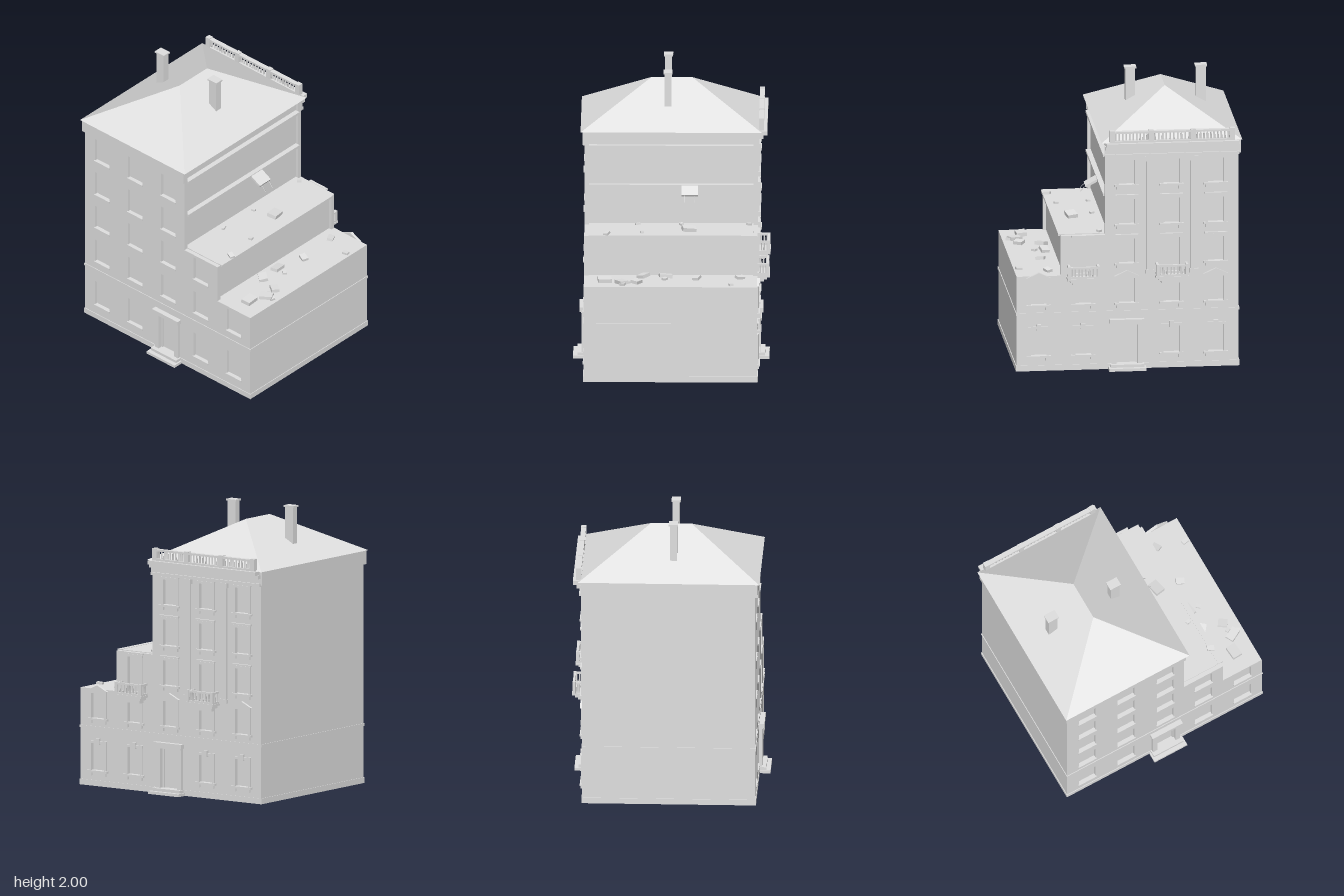
import * as THREE from 'three';
import { ConvexGeometry } from 'three/addons/geometries/ConvexGeometry.js';

const stone = new THREE.MeshStandardMaterial({ color: 0xe0e0e0 });
stone.name = 'pale stone';

// box given by its limits on each axis
function box(parent, name, x0, x1, y0, y1, z0, z1) {
  const m = new THREE.Mesh(new THREE.BoxGeometry(x1 - x0, y1 - y0, z1 - z0), stone);
  m.position.set((x0 + x1) / 2, (y0 + y1) / 2, (z0 + z1) / 2);
  m.name = name;
  parent.add(m);
  return m;
}

function group(parent, name) {
  const g = new THREE.Group();
  g.name = name;
  parent.add(g);
  return g;
}

const LEFT = -0.767, RIGHT = 0.78, STEP1 = 0.163, STEP2 = 0.473, INNER = 0.57;
const COLS = [-0.607, -0.298, 0.0125, 0.317, 0.627];
const ROWS = [[0.11, 0.31], [0.475, 0.66], [0.76, 0.945], [1.04, 1.23], [1.325, 1.51]];
const DOOR = 2;
// number of bays still standing on each floor
const BAYS = [5, 5, 4, 3, 3];
const isBalcony = (c, r) => r === 2 && (c === 1 || c === 3);

function eachWindow(fn) {
  ROWS.forEach(([y0, y1], r) => {
    for (let c = 0; c < BAYS[r]; c++) if (r > 0 || c !== DOOR) fn(COLS[c], y0, y1, c, r);
  });
}

// stepped outer wall with openings, closed by thin panes
function facade(parent, name, z, halfWidth, back) {
  const g = group(parent, name);
  const s = new THREE.Shape([
    [LEFT, 0], [RIGHT, 0], [RIGHT, 0.68], [STEP2, 0.68], [STEP2, 0.965],
    [STEP1, 0.965], [STEP1, 1.63], [LEFT, 1.63],
  ].map(([x, y]) => new THREE.Vector2(x, y)));
  const paneZ = back ? z + 0.022 : z + 0.002;
  const hole = (x, w, y0, y1) => {
    s.holes.push(new THREE.Path([
      [x - w, y0], [x - w, y1], [x + w, y1], [x + w, y0],
    ].map(([a, b]) => new THREE.Vector2(a, b))));
    box(g, 'pane', x - w, x + w, y0, y1, paneZ, paneZ + 0.006);
  };
  eachWindow((x, y0, y1, c, r) => hole(x, halfWidth, back && isBalcony(c, r) ? 0.69 : y0, y1));
  hole(COLS[DOOR], 0.072, 0.04, 0.325);
  const m = new THREE.Mesh(new THREE.ExtrudeGeometry(s, { depth: 0.03, bevelEnabled: false }), stone);
  m.position.z = z;
  m.name = 'wall';
  g.add(m);
}

// band running round all four sides
function band(parent, name, y0, y1, out) {
  const g = group(parent, name);
  box(g, 'frontBand', LEFT - out, RIGHT + out, y0, y1, 0.59, 0.6 + out);
  box(g, 'backBand', LEFT - out, RIGHT + out, y0, y1, -0.6 - out, -0.59);
  box(g, 'leftBand', LEFT - out, LEFT + 0.01, y0, y1, -0.59, 0.59);
  box(g, 'rightBand', RIGHT - 0.01, RIGHT + out, y0, y1, -0.59, 0.59);
}

// door surround and steps, on the front (s = 1) or back (s = -1)
function entrance(parent, s) {
  const g = group(parent, s > 0 ? 'frontEntrance' : 'backEntrance');
  const x = COLS[DOOR];
  const part = (name, a, b, y0, y1, z0, z1) =>
    box(g, name, x + a, x + b, y0, y1, Math.min(s * z0, s * z1), Math.max(s * z0, s * z1));
  part('lowerStep', -0.13, 0.13, 0, 0.02, 0.6, 0.68);
  part('upperStep', -0.118, 0.118, 0.02, 0.04, 0.57, 0.65);
  part('lintel', -0.12, 0.12, 0.33, 0.36, 0.6, 0.637);
  part('lintelMoulding', -0.108, 0.108, 0.318, 0.33, 0.6, 0.625);
  for (const k of [-1, 1]) {
    part('doorPilaster', k * 0.09 - 0.018, k * 0.09 + 0.018, 0.04, 0.32, 0.6, 0.62);
    part('doorJamb', k * 0.067 - 0.005, k * 0.067 + 0.005, 0.04, 0.32, 0.575, 0.59);
  }
}

// framed and dressed window on the back wall
function backWindow(parent, x, y0, y1, c, r) {
  const g = group(parent, 'backWindow');
  const tall = isBalcony(c, r);
  if (tall) y0 = 0.69;
  for (const k of [-1, 1])
    box(g, 'frameSide', x + k * 0.064 - 0.009, x + k * 0.064 + 0.009, y0, y1, -0.61, -0.59);
  box(g, 'frameTop', x - 0.073, x + 0.073, y1 - 0.01, y1 + 0.008, -0.611, -0.59);
  if (!tall) {
    box(g, 'sill', x - 0.085, x + 0.085, y0 - 0.014, y0, -0.62, -0.575);
    for (const k of [-1, 1])
      box(g, 'sillBracket', x + k * 0.06 - 0.01, x + k * 0.06 + 0.01, y0 - 0.037, y0 - 0.014, -0.614, -0.6);
  }
  if (r === 0) box(g, 'keystone', x - 0.016, x + 0.016, y1 - 0.018, y1 + 0.025, -0.618, -0.6);
  else if (r === 1 && c % 2 === 0) {
    // triangular pediment
    const s = new THREE.Shape([[-0.085, 0], [0.085, 0], [0, 0.04]].map((p) => new THREE.Vector2(...p)));
    const m = new THREE.Mesh(new THREE.ExtrudeGeometry(s, { depth: 0.02, bevelEnabled: false }), stone);
    m.position.set(x, y1 + 0.008, -0.618);
    m.name = 'pediment';
    g.add(m);
  } else if (r > 1) box(g, 'hood', x - 0.08, x + 0.08, y1 + 0.01, y1 + 0.022, -0.618, -0.6);
}

// row of balusters between two points, with rails of half width w
function balusters(parent, a, b, y0, y1, n, w) {
  for (let i = 0; i < n; i++) {
    const t = (i + 0.5) / n;
    const m = new THREE.Mesh(new THREE.CylinderGeometry(0.005, 0.007, y1 - y0, 6), stone);
    m.position.set(a[0] + (b[0] - a[0]) * t, (y0 + y1) / 2, a[1] + (b[1] - a[1]) * t);
    m.name = 'baluster';
    parent.add(m);
  }
  for (const y of [y0, y1 - 0.014])
    box(parent, 'rail', Math.min(a[0], b[0]) - 0.008, Math.max(a[0], b[0]) + 0.008, y, y + 0.014,
      Math.min(a[1], b[1]) - w, Math.max(a[1], b[1]) + w);
}

function balcony(parent, x) {
  const g = group(parent, 'balcony');
  box(g, 'balconySlab', x - 0.115, x + 0.115, 0.66, 0.675, -0.685, -0.6);
  box(g, 'balconyCorbel', x - 0.095, x + 0.095, 0.64, 0.66, -0.665, -0.6);
  box(g, 'balconyCorbelFoot', x - 0.075, x + 0.075, 0.618, 0.64, -0.645, -0.6);
  balusters(g, [x - 0.1, -0.672], [x + 0.1, -0.672], 0.675, 0.757, 8, 0.008);
  for (const k of [-1, 1]) {
    balusters(g, [x + k * 0.102, -0.608], [x + k * 0.102, -0.672], 0.675, 0.757, 3, 0.008);
    box(g, 'balconyPost', x + k * 0.102 - 0.01, x + k * 0.102 + 0.01, 0.675, 0.76, -0.682, -0.662);
  }
}

// debris: x, z, width, depth, turn, floor height
const RUBBLE = [
  [0.35, -0.125, 0.07, 0.095, 0.2, 0.97], [0.42, 0.2, 0.03, 0.025, 0.2, 0.97], [0.46, 0.445, 0.05, 0.035, -0.4, 0.97],
  [0.2, -0.54, 0.03, 0.03, 0.7, 0.97], [0.2, -0.07, 0.03, 0.025, 0.4, 0.97], [0.195, 0.23, 0.02, 0.035, 0.3, 0.97],
  [0.55, -0.48, 0.042, 0.06, 0.5, 0.68], [0.745, -0.42, 0.045, 0.03, 0.15, 0.68], [0.57, -0.18, 0.06, 0.045, -0.4, 0.68],
  [0.52, 0.035, 0.055, 0.09, 0.15, 0.68], [0.59, 0.04, 0.035, 0.03, -0.7, 0.68], [0.525, 0.19, 0.06, 0.075, 0.9, 0.68],
  [0.675, 0.235, 0.065, 0.055, -0.6, 0.68], [0.695, 0.34, 0.09, 0.06, 0.5, 0.68], [0.735, 0.33, 0.04, 0.035, -0.4, 0.68],
  [0.68, 0.295, 0.03, 0.025, 0.5, 0.68], [0.64, 0.455, 0.07, 0.095, 0.08, 0.68],
];

export function createModel() {
  const model = new THREE.Group();
  model.name = 'ruinedTownhouse';

  // hollow shell: outer walls, open underneath
  facade(model, 'frontWall', INNER, 0.067, false);
  facade(model, 'backWall', -0.6, 0.058, true);
  box(model, 'leftWall', LEFT, LEFT + 0.03, 0, 1.63, -INNER, INNER);
  box(model, 'rightWall', RIGHT - 0.03, RIGHT, 0, 0.68, -INNER, INNER);

  // stepped floors and the partitions exposed by the collapse
  box(model, 'lowFloor', 0.42, RIGHT, 0.665, 0.68, -INNER, INNER);
  box(model, 'middlePartition', 0.42, 0.45, 0.68, 0.955, -INNER, INNER);
  box(model, 'middleFloor', 0.11, 0.45, 0.955, 0.97, -INNER, INNER);
  box(model, 'middleFloorEdge', 0.45, 0.487, 0.957, 0.972, -INNER, INNER);
  box(model, 'upperPartition', 0.11, 0.14, 0.97, 1.63, -INNER, INNER);
  for (const y of [1.235, 1.515]) box(model, 'brokenFloor', 0.13, 0.176, y, y + 0.018, -INNER, INNER);

  // plinth and string course
  band(model, 'plinth', 0, 0.04, 0.005);
  band(model, 'stringCourse', 0.4, 0.418, 0.005);

  // windows, doors and balconies
  eachWindow((x, y0, y1, c, r) => {
    box(model, 'frontSill', x - 0.072, x + 0.072, y0 - 0.008, y0 + 0.004, 0.575, 0.608);
    backWindow(model, x, y0, y1, c, r);
  });
  entrance(model, 1);
  entrance(model, -1);
  balcony(model, COLS[1]);
  balcony(model, COLS[3]);

  // pilasters between the rear bays
  for (const x of [-0.455, -0.145]) {
    const g = group(model, 'rearPilaster');
    box(g, 'shaft', x - 0.023, x + 0.023, 0.69, 1.5, -0.615, -0.6);
    box(g, 'base', x - 0.03, x + 0.03, 0.68, 0.71, -0.62, -0.6);
    box(g, 'capital', x - 0.032, x + 0.032, 1.49, 1.525, -0.625, -0.6);
  }

  // eaves fascia on the three standing sides
  box(model, 'frontFascia', -0.782, 0.168, 1.533, 1.631, 0.59, 0.615);
  box(model, 'backFascia', -0.782, 0.168, 1.533, 1.631, -0.61, -0.59);
  box(model, 'leftFascia', -0.782, LEFT + 0.01, 1.533, 1.631, -0.59, 0.59);

  // hipped roof and chimneys
  const roof = new THREE.Mesh(new ConvexGeometry([
    [-0.79, 1.63, -0.628], [0.19, 1.63, -0.628], [0.19, 1.63, 0.628], [-0.79, 1.63, 0.628],
    [-0.3, 1.9, -0.14], [-0.3, 1.9, 0.14],
  ].map((p) => new THREE.Vector3(...p))), stone);
  roof.name = 'hippedRoof';
  model.add(roof);
  for (const x of [-0.568, -0.075]) {
    const g = group(model, 'chimney');
    box(g, 'stack', x - 0.034, x + 0.034, 1.65, 1.99, 0.001, 0.05);
    box(g, 'cap', x - 0.042, x + 0.042, 1.988, 2, -0.007, 0.057);
  }

  // rear cornice and parapet balustrade
  box(model, 'rearCornice', -0.762, 0.16, 1.605, 1.632, -0.665, -0.6);
  box(model, 'rearCorniceLower', -0.77, 0.165, 1.58, 1.605, -0.638, -0.6);
  box(model, 'rearArchitrave', -0.77, 0.165, 1.525, 1.545, -0.622, -0.6);
  const parapet = group(model, 'parapet');
  const piers = [-0.72, -0.447, -0.153, 0.118];
  piers.forEach((x, i) => {
    box(parapet, 'parapetPier', x - 0.018, x + 0.018, 1.63, 1.718, -0.642, -0.606);
    if (i) balusters(parapet, [piers[i - 1] + 0.015, -0.624], [x - 0.015, -0.624], 1.632, 1.712, 10, 0.017);
  });

  // loose rubble on the exposed floors
  const rubble = group(model, 'rubble');
  RUBBLE.forEach(([x, z, w, d, turn, y], i) => {
    const h = 0.006 + 0.3 * Math.min(w, d);
    const m = box(rubble, 'rubbleBlock', x - w / 2, x + w / 2, y, y + h, z - d / 2, z + d / 2);
    m.position.y += 0.003;
    m.rotation.set(0.12 * ((i % 3) - 1), turn, 0.15 * ((i % 2) - 0.5));
  });

  // hanging floor slab with bent reinforcing bars
  const hanging = group(model, 'hangingSlab');
  const slab = box(hanging, 'slab', 0.165, 0.26, 1.211, 1.227, -0.185, -0.073);
  slab.rotation.z = -0.5;
  for (const z of [-0.165, -0.095]) {
    const path = new THREE.CatmullRomCurve3([
      new THREE.Vector3(0.24, 1.202, z), new THREE.Vector3(0.27, 1.183, z), new THREE.Vector3(0.29, 1.155, z),
    ]);
    const bar = new THREE.Mesh(new THREE.TubeGeometry(path, 6, 0.002, 5), stone);
    bar.name = 'reinforcingBar';
    hanging.add(bar);
  }
  return model;
}
